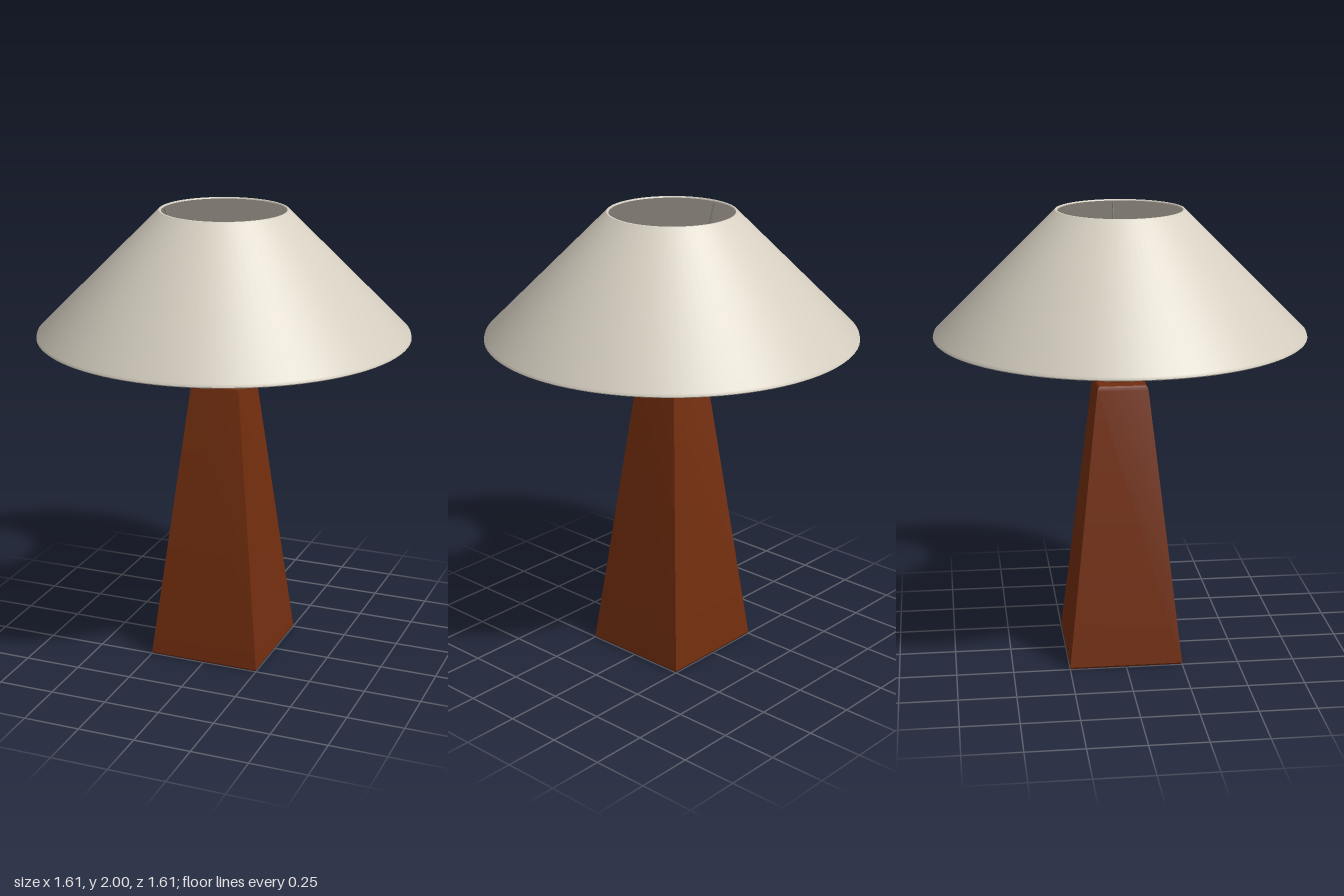
import * as THREE from 'three';
import { toCreasedNormals } from 'three/addons/utils/BufferGeometryUtils.js';

const material = (name, color, side = THREE.FrontSide) => {
  const m = new THREE.MeshStandardMaterial({ color, side });
  m.name = name;
  return m;
};

// Revolved profile of [radius, y] points with crisp edges
const revolve = (points, segments, crease) => toCreasedNormals(
  new THREE.LatheGeometry(points.map(([r, y]) => new THREE.Vector2(r, y)), segments), crease);

// Square column from [half width, y] points
const squareColumn = (points) =>
  revolve(points.map(([h, y]) => [h * Math.SQRT2, y]), 4, 0.3).rotateY(Math.PI / 4);

export function createModel() {
  const lamp = new THREE.Group();
  lamp.name = 'tableLamp';
  const wood = material('reddish brown wood', 0x712d0e);
  const linen = material('cream linen', 0xd8d1c3, THREE.DoubleSide);
  const glass = material('white glass', 0xe2dfd7);
  const metal = material('grey metal', 0x77746c);

  const add = (name, geometry, mat) => {
    const mesh = new THREE.Mesh(geometry, mat);
    mesh.name = name;
    lamp.add(mesh);
    return mesh;
  };

  // Tapered base with softened edges
  add('base', squareColumn([
    [0, 0], [0.245, 0], [0.25, 0.008], [0.111, 1.232], [0.107, 1.244], [0.1, 1.25], [0, 1.25],
  ]), wood);

  // Square neck
  add('neck', squareColumn([
    [0, 1.24], [0.045, 1.24], [0.045, 1.445], [0.041, 1.45], [0, 1.45],
  ]), wood);

  // Bulb and its collar
  add('bulbCollar', new THREE.CylinderGeometry(0.036, 0.036, 0.03, 24).translate(0, 1.46, 0), glass);
  add('bulb', new THREE.SphereGeometry(0.068, 32, 24).scale(1, 1.08, 1).translate(0, 1.535, 0), glass);

  // Conical shade with a thin wall and a small lower hem
  add('shade', revolve([
    [0.8, 1.457], [0.806, 1.462], [0.803, 1.474], [0.28, 1.996], [0.276, 2],
    [0.268, 2], [0.266, 1.995], [0.788, 1.472], [0.79, 1.46], [0.8, 1.457],
  ], 96, 0.6), linen);

  // Wires carrying the shade
  for (const s of [-1, 1]) {
    const path = new THREE.CurvePath();
    const p = [[0.04, 1.445], [0.092, 1.475], [0.272, 1.985]]
      .map(([x, y]) => new THREE.Vector3(s * x, y, 0));
    path.add(new THREE.LineCurve3(p[0], p[1]));
    path.add(new THREE.LineCurve3(p[1], p[2]));
    add(s > 0 ? 'leftShadeWire' : 'rightShadeWire',
      new THREE.TubeGeometry(path, 40, 0.004, 8), metal);
  }

  return lamp;
}
